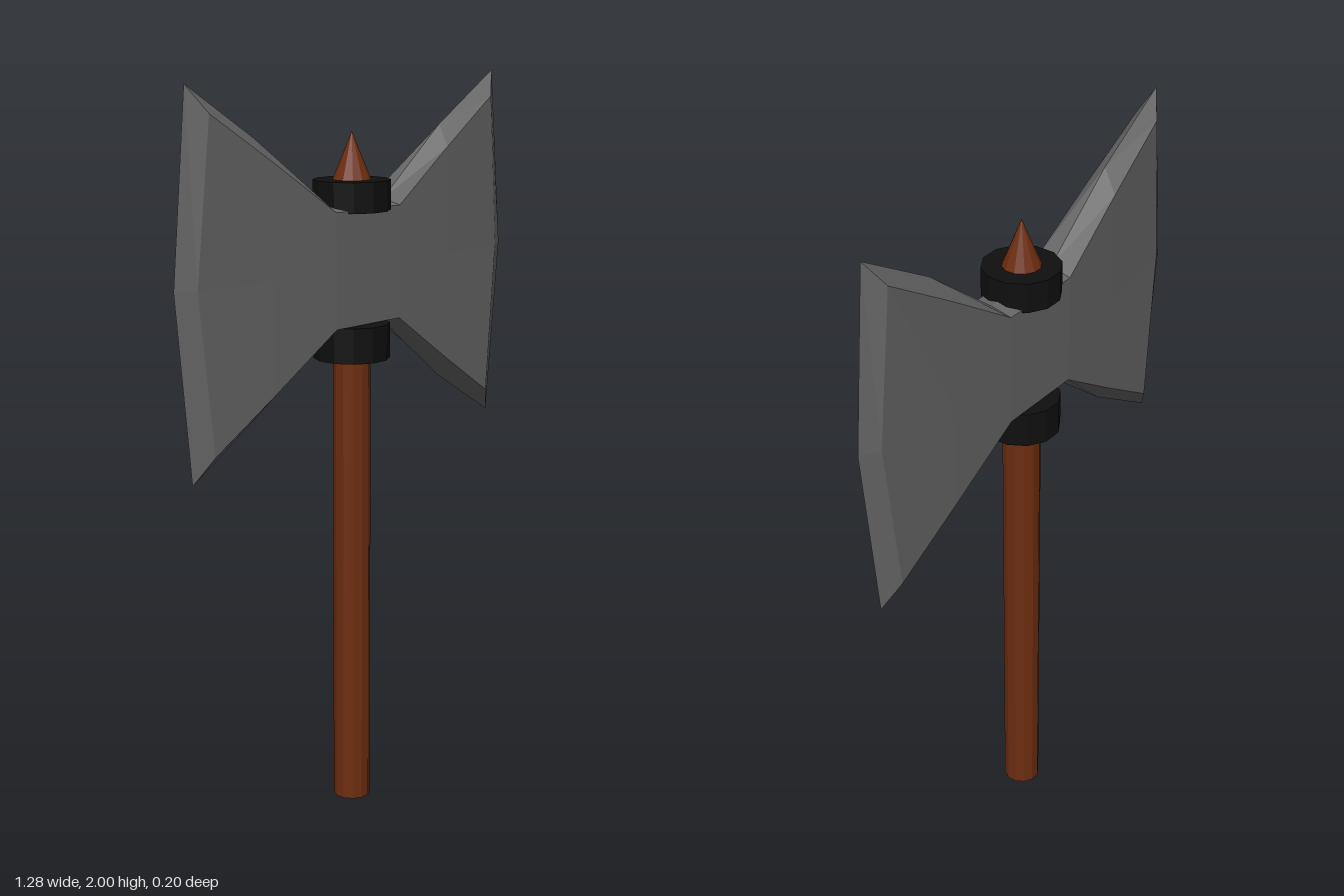
import * as THREE from 'three';

const CENTER_Y = 1.51;

// One closed 8-point ring of the axe head: ridge, front face, ridge, back face.
function ring(side, { ridge, face, mid }) {
  const [rx, rh] = ridge, [fx, fh, fz] = face, [mx, mz] = mid;
  return [
    [rx, rh, 0], [fx, fh, fz], [mx, 0, mz], [fx, -fh, fz],
    [rx, -rh, 0], [fx, -fh, -fz], [mx, 0, -mz], [fx, fh, -fz],
  ].map(([x, y, z]) => new THREE.Vector3(side * x, CENTER_Y + y, z));
}

// Double-bitted head lofted from left edge to right edge.
function headGeometry() {
  const half = [
    { ridge: [0.125, 0.165], face: [0.125, 0.152, 0.06], mid: [0.125, 0.06] },
    { ridge: [0.36, 0.35], face: [0.34, 0.292, 0.047], mid: [0.34, 0.047] },
    { ridge: [0.592, 0.49], face: [0.545, 0.42, 0.035], mid: [0.587, 0.028] },
    { ridge: [0.592, 0.49], face: [0.592, 0.49, 0], mid: [0.64, 0] }, // cutting edge
  ];
  const rings = [
    ...half.slice().reverse().map((s) => ring(-1, s)),
    ...half.map((s) => ring(1, s)),
  ];
  const points = [];
  const addTriangle = (a, b, c) => {
    if (new THREE.Triangle(a, b, c).getArea() > 1e-7) points.push(a, b, c);
  };
  for (let i = 0; i < rings.length - 1; i++) {
    for (let j = 0; j < 8; j++) {
      const k = (j + 1) % 8;
      const a = rings[i][j], b = rings[i + 1][j], c = rings[i + 1][k], d = rings[i][k];
      addTriangle(a, d, c);
      addTriangle(a, c, b);
    }
  }
  const geometry = new THREE.BufferGeometry().setFromPoints(points);
  geometry.computeVertexNormals();
  return geometry;
}

export function createModel() {
  const steel = new THREE.MeshStandardMaterial({ color: 0x666666 });
  const wood = new THREE.MeshStandardMaterial({ color: 0x6e2d10 });
  const iron = new THREE.MeshStandardMaterial({ color: 0x0f0f0f });
  steel.name = 'steel';
  wood.name = 'wood';
  iron.name = 'blackIron';
  for (const m of [steel, wood, iron]) m.flatShading = true;

  const axe = new THREE.Group();
  axe.name = 'doubleAxe';
  const add = (name, geometry, material) => {
    const mesh = new THREE.Mesh(geometry, material);
    mesh.name = name;
    axe.add(mesh);
  };

  // Upright twelve-sided cylinder or cone between two heights.
  const column = (rTop, rBottom, y0, y1) =>
    new THREE.CylinderGeometry(rTop, rBottom, y1 - y0, 12)
      .rotateY(Math.PI / 12)
      .translate(0, (y0 + y1) / 2, 0);

  add('handle', column(0.051, 0.051, 0, 1.735), wood);
  add('spike', column(0, 0.051, 1.735, 1.86), wood);
  add('lowerCollar', column(0.103, 0.103, 1.26, 1.355), iron);
  add('upperCollar', column(0.103, 0.103, 1.655, 1.735), iron);
  add('axeHead', headGeometry(), steel);

  return axe;
}
